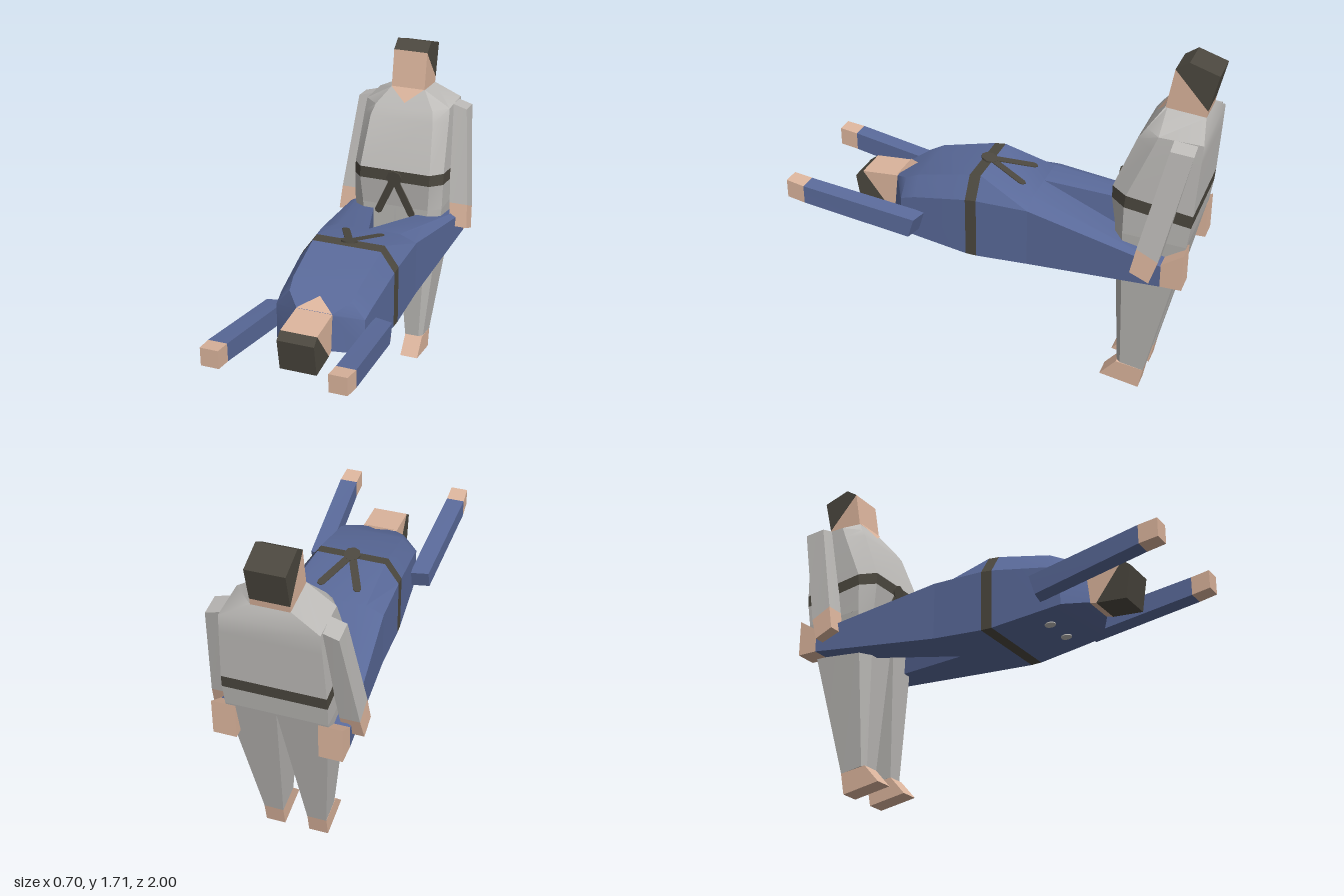
import * as THREE from 'three';
import { toCreasedNormals } from 'three/addons/utils/BufferGeometryUtils.js';

const material = (name, color) => Object.assign(new THREE.MeshStandardMaterial({ color }), { name });

// Skin a list of rings (lowest first, anticlockwise from above) and cap both ends
function loft(rings) {
  const pos = [], n = rings[0].length;
  const tri = (a, b, c) => pos.push(...a, ...b, ...c);
  for (let k = 0; k < rings.length - 1; k++) {
    const a = rings[k], b = rings[k + 1];
    for (let i = 0; i < n; i++) {
      const j = (i + 1) % n;
      tri(a[i], a[j], b[j]);
      tri(a[i], b[j], b[i]);
    }
  }
  const low = rings[0], top = rings[rings.length - 1];
  for (let i = 1; i < n - 1; i++) {
    tri(low[0], low[i + 1], low[i]);
    tri(top[0], top[i], top[i + 1]);
  }
  const g = new THREE.BufferGeometry();
  g.setAttribute('position', new THREE.Float32BufferAttribute(pos, 3));
  return toCreasedNormals(g, 0.5);
}

// Torso ring: front/back height, front/back depth, front and side half widths, chamfer depth
function torsoRing([yF, yB, zF, zB, wF, wS, c]) {
  const zM = zF - c, yM = yF + (yB - yF) * c / (zF - zB);
  return [[-wF, yF, zF], [wF, yF, zF], [wS, yM, zM], [wS, yB, zB], [-wS, yB, zB], [-wS, yM, zM]];
}

const mirrored = (ring, side) => side > 0 ? ring : ring.map(([x, y, z]) => [-x, y, z]).reverse();

// Leg ring with its outer front corner cut off
const legRing = ([x0, x1, yF, yB, zF, zB, cx, cz]) =>
  [[x0, yF, zF], [x1 - cx, yF, zF], [x1, yF, zF - cz], [x1, yB, zB], [x0, yB, zB]];

// Arm ring with four corners; slope offsets the outer edge
const armRing = ([x0, x1, yF, yB, zF, zB, slope = 0]) =>
  [[x0, yF, zF], [x1, yF + slope, zF], [x1, yB + slope, zB], [x0, yB, zB]];

// Side outline of [z, y] points, extruded across x
function prism(points, width, x = 0) {
  const shape = new THREE.Shape(points.map(p => new THREE.Vector2(...p)));
  return new THREE.ExtrudeGeometry(shape, { depth: width, bevelEnabled: false })
    .rotateY(-Math.PI / 2).translate(x + width / 2, 0, 0);
}

// Knot with two splayed tails as one thin plate each
function beltKnot(mat, [y, z], lean, length) {
  const g = new THREE.Group();
  g.name = 'beltKnot';
  const add = (name, geo) => {
    const m = new THREE.Mesh(geo, mat);
    m.name = name;
    g.add(m);
  };
  add('knot', new THREE.CylinderGeometry(0.042, 0.042, 0.008, 8).rotateX(Math.PI / 2).translate(0, 0, 0.005));
  for (const s of [-1, 1]) {
    const tail = new THREE.Shape();
    tail.moveTo(-0.019, 0).lineTo(-0.019, -length).lineTo(-0.01, -length - 0.015)
      .lineTo(0.01, -length - 0.015).lineTo(0.019, -length).lineTo(0.019, 0);
    add('beltTail', new THREE.ExtrudeGeometry(tail, { depth: 0.008, bevelEnabled: false }).rotateZ(s * 0.42));
  }
  g.position.set(0, y, z);
  g.rotation.x = lean;
  return g;
}

function figure(name, p, cloth, skin, dark) {
  const g = new THREE.Group();
  g.name = name;
  const add = (part, geo, mat) => {
    const m = new THREE.Mesh(geo, mat);
    m.name = part;
    g.add(m);
  };
  // Jacket, divided by the belt
  const r = p.torso.map(torsoRing);
  add('jacketSkirt', loft(r.slice(0, 2)), cloth);
  add('belt', loft(r.slice(1, 3)), dark);
  add('jacket', loft(r.slice(2)), cloth);
  g.add(beltKnot(dark, p.knot, p.lean, p.tail));

  // Open collar, just in front of the jacket
  const [a, b] = [p.torso[5], p.torso[4]];
  const t = p.collar, e = 0.004;
  const tip = [0, a[0] + (b[0] - a[0]) * t + e, a[2] + (b[2] - a[2]) * t + e];
  const collar = new THREE.BufferGeometry();
  collar.setAttribute('position', new THREE.Float32BufferAttribute(
    [-0.087, a[0] + e, a[2] + e, ...tip, 0.087, a[0] + e, a[2] + e], 3));
  collar.computeVertexNormals();
  add('collarOpening', collar, skin);

  add('face', prism(p.face, 0.174), skin);
  add('hair', prism(p.hair, 0.176), dark);

  // Limbs on both sides
  for (const s of [1, -1]) {
    const limb = (rings, make) => loft(rings.map(q => mirrored(make(q), s)));
    add('trouserLeg', limb(p.leg, legRing), cloth);
    add('foot', prism(p.foot, p.footWidth, s * p.footX), skin);
    add('sleeve', limb(p.arm, armRing), cloth);
    add('hand', limb(p.hand, armRing), skin);
  }
  return g;
}

// Upright pose
const standing = {
  torso: [
    [0.905, 0.885, -0.59, -0.935, 0.175, 0.235, 0.05],
    [1.05, 0.99, -0.572, -0.95, 0.185, 0.238, 0.07],
    [1.11, 1.05, -0.573, -0.955, 0.185, 0.237, 0.075],
    [1.355, 1.3, -0.67, -0.97, 0.165, 0.225, 0.08],
    [1.405, 1.395, -0.705, -0.975, 0.15, 0.22, 0.07],
    [1.485, 1.465, -0.765, -0.95, 0.087, 0.088, 0.01]],
  knot: [1.07, -0.572], lean: 0.1, tail: 0.22, collar: 0.8,
  face: [[-0.765, 1.47], [-0.8, 1.67], [-0.955, 1.495], [-0.95, 1.46]],
  hair: [[-0.8, 1.67], [-0.86, 1.71], [-0.995, 1.665], [-0.955, 1.495]],
  leg: [[0.06, 0.155, 0.125, 0.105, -0.62, -0.755, 0.02, 0.02],
    [0, 0.235, 0.905, 0.885, -0.59, -0.935, 0.06, 0.05]],
  foot: [[-0.54, 0.035], [-0.62, 0.125], [-0.755, 0.105], [-0.735, 0]], footWidth: 0.095, footX: 0.108,
  arm: [[0.25, 0.343, 0.9, 0.85, -0.735, -0.835], [0.205, 0.29, 1.405, 1.395, -0.845, -0.95, -0.025]],
  hand: [[0.257, 0.352, 0.78, 0.74, -0.71, -0.8], [0.25, 0.343, 0.9, 0.85, -0.735, -0.835]]
};

// Lying pose, described upright: y runs towards the head, z towards the chest
const lying = {
  torso: [
    [-0.19, -0.19, 0.965, 0.645, 0.16, 0.245, 0.035],
    [0.065, 0.065, 1.03, 0.632, 0.17, 0.24, 0.1],
    [0.12, 0.12, 1.025, 0.633, 0.17, 0.238, 0.1],
    [0.385, 0.385, 0.97, 0.668, 0.16, 0.222, 0.09],
    [0.455, 0.465, 0.937, 0.68, 0.15, 0.215, 0.08],
    [0.53, 0.55, 0.9, 0.72, 0.087, 0.088, 0.01]],
  knot: [0.085, 1.031], lean: 0.25, tail: 0.22, collar: 1,
  face: [[0.9, 0.525], [0.89, 0.715], [0.71, 0.58], [0.72, 0.54]],
  hair: [[0.89, 0.715], [0.86, 0.755], [0.7, 0.73], [0.71, 0.58]],
  leg: [[0.19, 0.3, -0.84, -0.84, 0.815, 0.7, 0.015, 0.01],
    [0, 0.245, -0.19, -0.19, 0.965, 0.645, 0.085, 0.035]],
  foot: [[0.815, -0.84], [0.88, -0.94], [0.7, -0.94], [0.7, -0.84]], footWidth: 0.11, footX: 0.245,
  arm: [[0.22, 0.31, 0.335, 0.365, 0.805, 0.71, 0.02], [0.25, 0.34, 0.91, 0.91, 0.9, 0.81]],
  hand: [[0.25, 0.34, 0.91, 0.91, 0.9, 0.81], [0.25, 0.335, 1, 1, 0.915, 0.825]]
};

export function createModel() {
  const model = new THREE.Group();
  model.name = 'martialArtists';
  const white = material('paleCloth', 0xbdbbb8), blue = material('blueCloth', 0x5a6a9a);
  const skin = material('skin', 0xdcb59d), dark = material('darkHairAndBelt', 0x4c483f);

  model.add(figure('standingFigure', standing, white, skin, dark));

  const down = figure('lyingFigure', lying, blue, skin, dark);
  // Small pale spots on the upper back
  for (const s of [-1, 1]) {
    const spot = new THREE.Mesh(new THREE.CylinderGeometry(0.026, 0.026, 0.006, 12).rotateX(Math.PI / 2), white);
    spot.name = 'backSpot';
    spot.position.set(s * 0.08, 0.34, 0.66);
    spot.rotation.x = 0.13;
    down.add(spot);
  }
  // Lay the figure on its back, head towards the front
  const lay = new THREE.Matrix4().makeBasis(
    new THREE.Vector3(-1, 0, 0), new THREE.Vector3(0, 0, 1), new THREE.Vector3(0, 1, 0));
  down.quaternion.setFromRotationMatrix(lay);
  model.add(down);
  return model;
}
